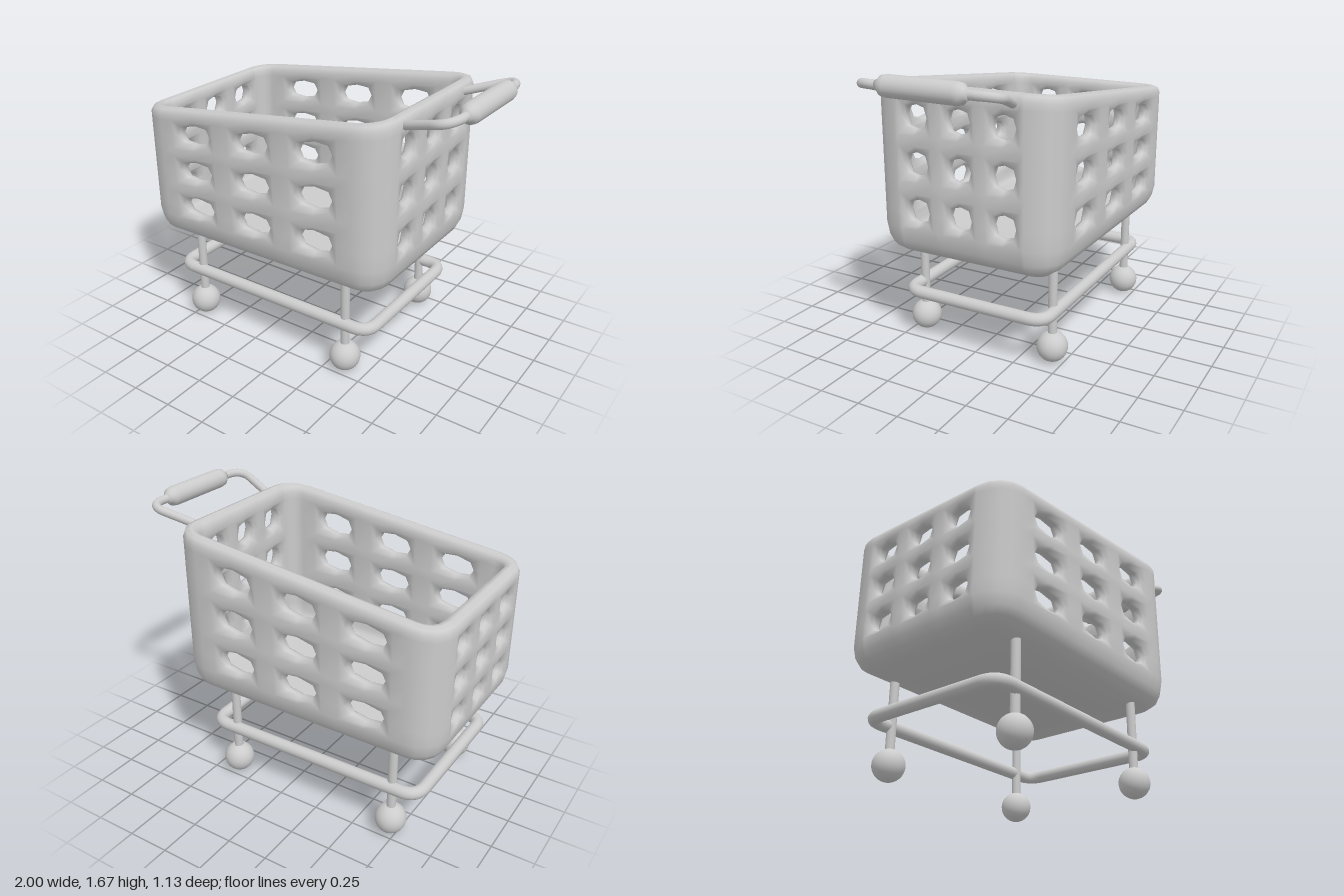
import * as THREE from 'three';

const material = new THREE.MeshStandardMaterial({ color: 0xcccccc });
const V = (x, y, z) => new THREE.Vector3(x, y, z);

function add(parent, name, geometry, x = 0, y = 0, z = 0) {
  const mesh = new THREE.Mesh(geometry, material);
  mesh.name = name;
  mesh.position.set(x, y, z);
  parent.add(mesh);
  return mesh;
}

// Basket dimensions
const CX = -0.175, HALF = [0.825, 0.565], CORNER = 0.17, BOTTOM = 0.55, WALL = 0.09;
const rimHeight = x => 1.5 + 0.127 * x;
const HOLE_V = [0.298, 0.56, 0.817];
const HOLE_H = 0.066, CELL_V = 0.1;

// Point on the basket: column around the plan, v up the wall, d inset from the outside
function basketPoint(col, v, d) {
  const r = Math.max(CORNER - d, 0.01);
  const shrink = 1 - Math.max(0, d - CORNER + 0.01) / 0.6;
  const x = CX + (col.bx + col.dx * r) * shrink;
  const z = -(col.by + col.dy * r) * shrink;
  return [x, BOTTOM + v * (rimHeight(x) - BOTTOM), z];
}

// Columns run counterclockwise seen from above: straight knots, then the corner arc
function basketColumns() {
  const cols = [];
  for (let k = 0; k < 4; k++) {
    const n = [[1, 0], [0, 1], [-1, 0], [0, -1]][k], t = [-n[1], n[0]];
    const out = HALF[k % 2] - CORNER, L = HALF[(k + 1) % 2] - CORNER;
    const pitch = k % 2 ? 0.415 : 0.27, cell = k % 2 ? 0.155 : 0.105;
    const holeW = k % 2 ? 0.108 : 0.068;
    const column = (s, a, extra) => ({
      bx: n[0] * out + t[0] * s, by: n[1] * out + t[1] * s,
      dx: n[0] * Math.cos(a) + t[0] * Math.sin(a),
      dy: n[1] * Math.cos(a) + t[1] * Math.sin(a), ...extra,
    });
    cols.push(column(-L, 0));
    for (const c of [-pitch, 0, pitch]) {
      cols.push(column(c - cell, 0));
      cols.push(column(c, 0, { hole: true, holeW, t }));
      cols.push(column(c + cell, 0));
    }
    cols.push(column(L, 0));
    for (let i = 1; i < 4; i++) cols.push(column(L, i * Math.PI / 8));
  }
  return cols;
}

function basketGeometry() {
  const cols = basketColumns(), N = cols.length;
  const wall = HOLE_V.flatMap(v => [v - CELL_V, v, v + CELL_V]);
  const base = [[0, 0.3], [0.008, 0.2], [0.03, 0.1], [0.07, 0.04], [0.12, 0.014]];
  const rim = [[0.955, 0], [0.987, 0.013], [1, 0.045], [0.987, 0.077], [0.955, WALL]];
  const floor = [[0.15, 0.094], [0.115, 0.11], [0.1, 0.14]];
  const rows = [...base, ...wall.map(v => [v, 0]), ...rim,
    ...[...wall].reverse().map(v => [v, WALL]), ...floor];
  const first = base.length;
  const mirrorRow = i => 2 * first + 2 * wall.length + rim.length - 1 - i;

  const pos = [], index = [];
  const vertex = p => pos.push(...p) / 3 - 1;
  const quad = (a, b, c, d) => index.push(a, b, c, a, c, d);
  const id = (i, j) => i * N + (j + N) % N;
  for (const [v, d] of rows) for (const col of cols) vertex(basketPoint(col, v, d));

  // Wall openings: rings lead from the outer cell edge through to the inner one
  const skip = new Set();
  const around = [[1, 0], [1, 1], [0, 1], [-1, 1], [-1, 0], [-1, -1], [0, -1], [1, -1]];
  const rings = [[1.18, 0.012], [1, 0.032], [1, 0.058], [1.18, 0.078]];
  cols.forEach((col, j) => {
    if (!col.hole) return;
    HOLE_V.forEach((v, h) => {
      const i = first + 3 * h + 1;
      for (const a of [i - 1, i, mirrorRow(i) - 1, mirrorRow(i)])
        for (const b of [j - 1, j]) skip.add(id(a, b));
      const loops = rings.map(([scale, d]) => around.map(([a, b]) => {
        const f = scale * (a && b ? 0.77 : 1), s = a * f * col.holeW;
        const c = { ...col, bx: col.bx + col.t[0] * s, by: col.by + col.t[1] * s };
        return vertex(basketPoint(c, v + b * f * HOLE_H, d));
      }));
      loops.unshift(around.map(([a, b]) => id(i + b, j + a)));
      loops.push(around.map(([a, b]) => id(mirrorRow(i + b), j + a)));
      for (let r = 0; r + 1 < loops.length; r++)
        for (let k = 0; k < 8; k++) {
          const m = (k + 1) % 8;
          quad(loops[r][k], loops[r][m], loops[r + 1][m], loops[r + 1][k]);
        }
    });
  });

  // Solid wall cells
  for (let i = 0; i + 1 < rows.length; i++)
    for (let j = 0; j < N; j++)
      if (!skip.has(id(i, j))) quad(id(i, j), id(i, j + 1), id(i + 1, j + 1), id(i + 1, j));

  // Underside and inside floor
  const last = rows.length - 1;
  const centre = { bx: 0, by: 0, dx: 0, dy: 0 };
  const under = vertex(basketPoint(centre, 0, 0));
  const inside = vertex(basketPoint(centre, rows[last][0], 0));
  for (let j = 0; j < N; j++) {
    index.push(under, id(0, j + 1), id(0, j));
    index.push(inside, id(last, j), id(last, j + 1));
  }

  const g = new THREE.BufferGeometry();
  g.setAttribute('position', new THREE.Float32BufferAttribute(pos, 3));
  g.setIndex(index);
  g.computeVertexNormals();
  return g;
}

// Closed rounded rectangle for the lower rail
function railPath(x0, x1, zHalf, r) {
  const path = new THREE.CurvePath();
  const corners = [V(x0, 0, zHalf), V(x1, 0, zHalf), V(x1, 0, -zHalf), V(x0, 0, -zHalf)];
  const toward = (a, b) => a.clone().add(b.clone().sub(a).setLength(r));
  corners.forEach((c, i) => {
    const next = corners[(i + 1) % 4], after = corners[(i + 2) % 4];
    path.add(new THREE.LineCurve3(toward(c, next), toward(next, c)));
    path.add(new THREE.QuadraticBezierCurve3(toward(next, c), next, toward(next, after)));
  });
  return path;
}

export function createModel() {
  const model = new THREE.Group();
  add(model, 'basket', basketGeometry());

  // Legs with ball feet
  for (const x of [-0.71, 0.365])
    for (const z of [-0.43, 0.43]) {
      add(model, 'leg', new THREE.CylinderGeometry(0.026, 0.026, 0.5, 20), x, 0.35, z);
      add(model, 'wheel', new THREE.SphereGeometry(0.09, 32, 20), x, 0.09, z);
    }

  // Lower rail
  add(model, 'lowerRail',
    new THREE.TubeGeometry(railPath(-0.865, 0.52, 0.445, 0.1), 200, 0.037, 16, true), 0, 0.31, 0);

  // Handle bar with bent arms
  const handle = new THREE.Group();
  handle.name = 'handle';
  const bar = new THREE.CurvePath();
  const bend = s => [V(0.61, 1.515, 0.322 * s), V(0.83, 1.585, 0.393 * s),
    V(0.925, 1.612, 0.425 * s), V(0.938, 1.612, 0.31 * s)];
  const [a0, a1, a2, a3] = bend(-1), [b0, b1, b2, b3] = bend(1);
  bar.add(new THREE.LineCurve3(a0, a1));
  bar.add(new THREE.QuadraticBezierCurve3(a1, a2, a3));
  bar.add(new THREE.LineCurve3(a3, b3));
  bar.add(new THREE.QuadraticBezierCurve3(b3, b2, b1));
  bar.add(new THREE.LineCurve3(b1, b0));
  add(handle, 'handleBar', new THREE.TubeGeometry(bar, 120, 0.025, 14));

  // Grip with tapered ends
  const profile = [[0, -0.27], [0.026, -0.27], [0.035, -0.25], [0.053, -0.232], [0.058, -0.2]];
  const points = [...profile, ...profile.map(([r, y]) => [r, -y]).reverse()];
  const grip = new THREE.LatheGeometry(points.map(p => new THREE.Vector2(...p)), 28);
  add(handle, 'grip', grip, 0.938, 1.612, 0).rotation.x = Math.PI / 2;
  model.add(handle);

  return model;
}
